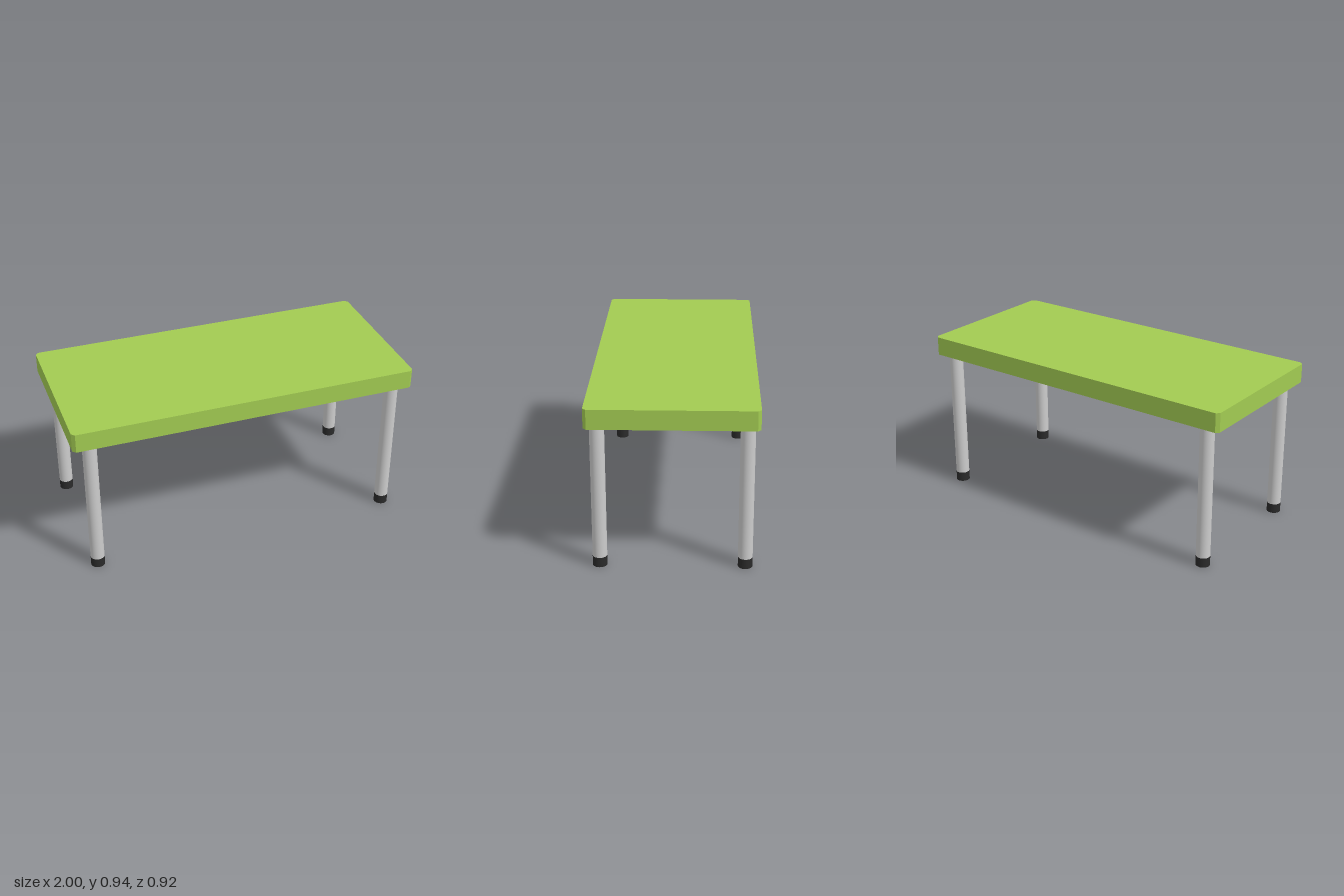
import * as THREE from 'three';

const WIDTH = 2, DEPTH = 0.916, CHAMFER = 0.018;
const TOP = 0.945, SKIRT = 0.835;
const LEG_X = 0.898, LEG_Z = 0.395, LEG_R = 0.04, FOOT_H = 0.057;

const makeMaterial = (name, color, side = THREE.FrontSide) => {
  const material = new THREE.MeshStandardMaterial({ color, side });
  material.name = name;
  return material;
};

const addMesh = (parent, name, geometry, material, x = 0, y = 0, z = 0) => {
  const mesh = new THREE.Mesh(geometry, material);
  mesh.name = name;
  mesh.position.set(x, y, z);
  parent.add(mesh);
  return mesh;
};

// Rectangle with chamfered corners, counter-clockwise
function outline() {
  const w = WIDTH / 2, d = DEPTH / 2, c = CHAMFER;
  return [
    [w, -d + c], [w, d - c], [w - c, d], [-w + c, d],
    [-w, d - c], [-w, -d + c], [-w + c, -d], [w - c, -d],
  ].map(([x, y]) => new THREE.Vector2(x, y));
}

export function createModel() {
  const green = makeMaterial('green', 0xa2cb52, THREE.DoubleSide);
  const grey = makeMaterial('light grey metal', 0xcccccc);
  const black = makeMaterial('black rubber', 0x2a2a2a);

  const table = new THREE.Group();
  table.name = 'table';

  // Thin tabletop, open underneath
  const points = outline();
  const tabletop = new THREE.Group();
  tabletop.name = 'tabletop';
  table.add(tabletop);
  const panel = new THREE.ShapeGeometry(new THREE.Shape(points)).rotateX(-Math.PI / 2);
  addMesh(tabletop, 'topPanel', panel, green, 0, TOP, 0);

  // Skirt: one flat sheet per side and chamfer
  const skirtHeight = TOP - SKIRT;
  points.forEach((a, i) => {
    const b = points[(i + 1) % points.length];
    const sheet = new THREE.PlaneGeometry(a.distanceTo(b), skirtHeight);
    const wall = addMesh(tabletop, 'skirt', sheet, green,
      (a.x + b.x) / 2, (TOP + SKIRT) / 2, -(a.y + b.y) / 2);
    wall.rotation.y = Math.atan2(b.y - a.y, b.x - a.x);
  });

  // Four tubular legs with rubber feet, reaching up to the panel
  const legHeight = TOP - 0.002 - FOOT_H;
  const legGeometry = new THREE.CylinderGeometry(LEG_R, LEG_R, legHeight, 32);
  const footGeometry = new THREE.CylinderGeometry(LEG_R, LEG_R, FOOT_H, 32);
  for (const sx of [1, -1]) {
    for (const sz of [1, -1]) {
      const leg = new THREE.Group();
      leg.name = `${sz > 0 ? 'front' : 'back'}${sx > 0 ? 'Left' : 'Right'}Leg`;
      leg.position.set(sx * LEG_X, 0, sz * LEG_Z);
      addMesh(leg, 'legTube', legGeometry, grey, 0, FOOT_H + legHeight / 2, 0);
      addMesh(leg, 'foot', footGeometry, black, 0, FOOT_H / 2, 0);
      table.add(leg);
    }
  }
  return table;
}
